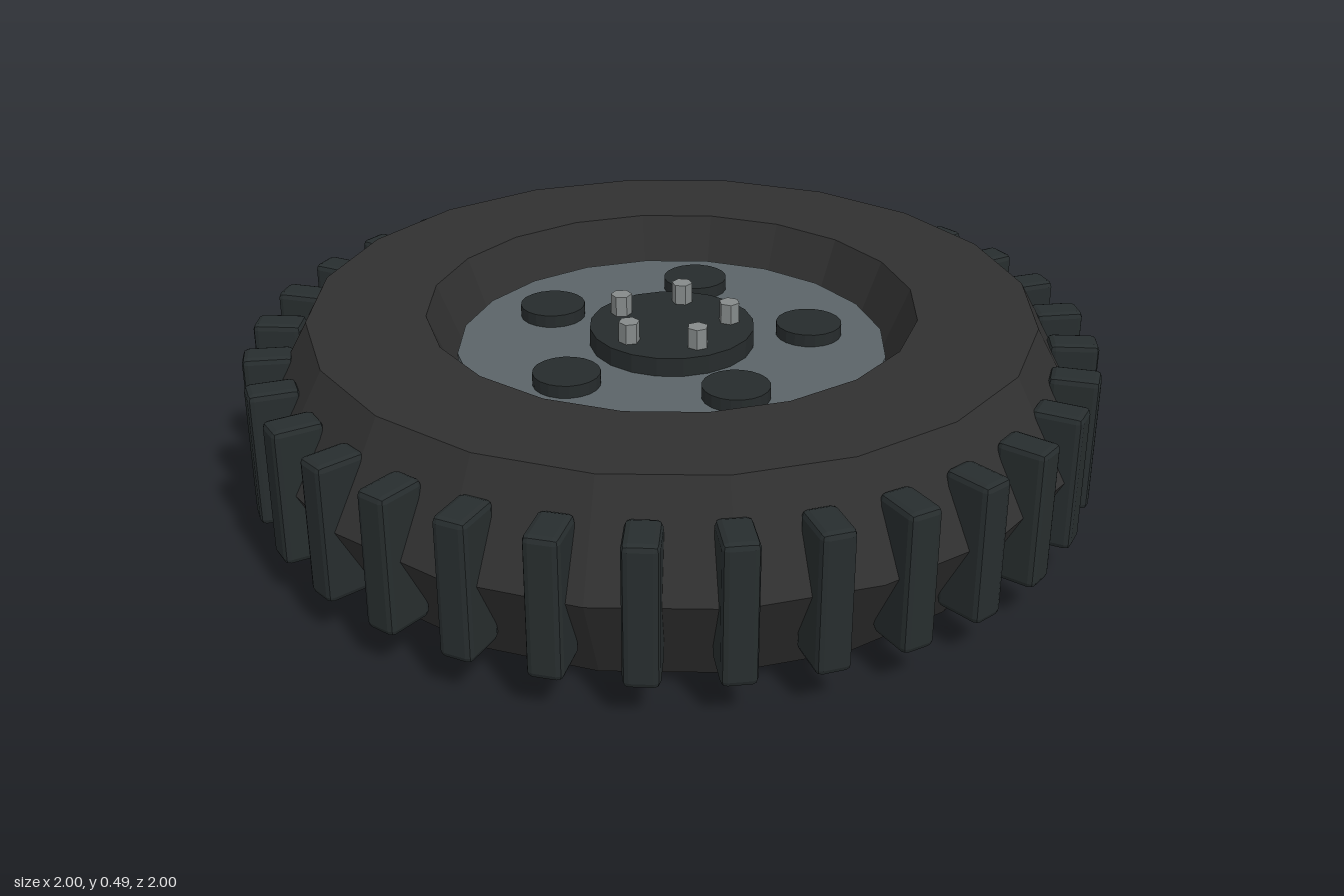
import * as THREE from 'three';
import { RoundedBoxGeometry } from 'three/addons/geometries/RoundedBoxGeometry.js';

const mat = (color) => new THREE.MeshStandardMaterial({ color, flatShading: true });
const rubber = mat(0x303030);
const treadRubber = mat(0x272d2e);
const steel = mat(0x5b6468);
const darkSteel = mat(0x262b2c);
const bright = mat(0x858a8a);

const SIDES = 20;
const RIM_TOP = 0.39;
const HUB_TOP = 0.435;

function add(parent, name, geometry, material, x = 0, y = 0, z = 0) {
  const mesh = new THREE.Mesh(geometry, material);
  mesh.name = name;
  mesh.position.set(x, y, z);
  parent.add(mesh);
  return mesh;
}

// Repeats a part evenly around the wheel axis
function ring(parent, name, count, radius, y, geometry, material) {
  const group = new THREE.Group();
  group.name = name + 's';
  for (let i = 0; i < count; i++) {
    const a = (i / count) * Math.PI * 2;
    const part = add(group, name, geometry, material, radius * Math.cos(a), y, -radius * Math.sin(a));
    part.rotation.y = a;
  }
  parent.add(group);
}

export function createModel() {
  const wheel = new THREE.Group();
  wheel.name = 'wheel';

  // Tire: closed profile with ridged tread face and bevelled bore
  const profile = [
    [0.48, 0.26], [0.575, 0.026], [0.85, 0.026], [0.975, 0.26],
    [0.85, 0.49], [0.575, 0.49], [0.48, 0.26],
  ].map(([r, y]) => new THREE.Vector2(r, y));
  add(wheel, 'tire', new THREE.LatheGeometry(profile, SIDES), rubber);

  // Tread lugs
  ring(wheel, 'treadBlock', 32, 0.942, 0.256,
    new RoundedBoxGeometry(0.116, 0.328, 0.078, 1, 0.014), treadRubber);

  // Solid rim disc, reaching slightly below the tire
  add(wheel, 'rim', new THREE.CylinderGeometry(0.507, 0.507, RIM_TOP, SIDES), steel, 0, RIM_TOP / 2);

  // Dark round covers on the rim
  ring(wheel, 'rimCover', 5, 0.33, RIM_TOP + 0.014,
    new THREE.CylinderGeometry(0.078, 0.078, 0.032, SIDES), darkSteel);

  // Hub cap with hexagonal nuts
  add(wheel, 'hub', new THREE.CylinderGeometry(0.195, 0.195, HUB_TOP - RIM_TOP + 0.01, SIDES),
    darkSteel, 0, (HUB_TOP + RIM_TOP - 0.01) / 2);
  ring(wheel, 'wheelNut', 5, 0.137, HUB_TOP + 0.022,
    new THREE.CylinderGeometry(0.025, 0.025, 0.054, 6), bright);

  return wheel;
}
